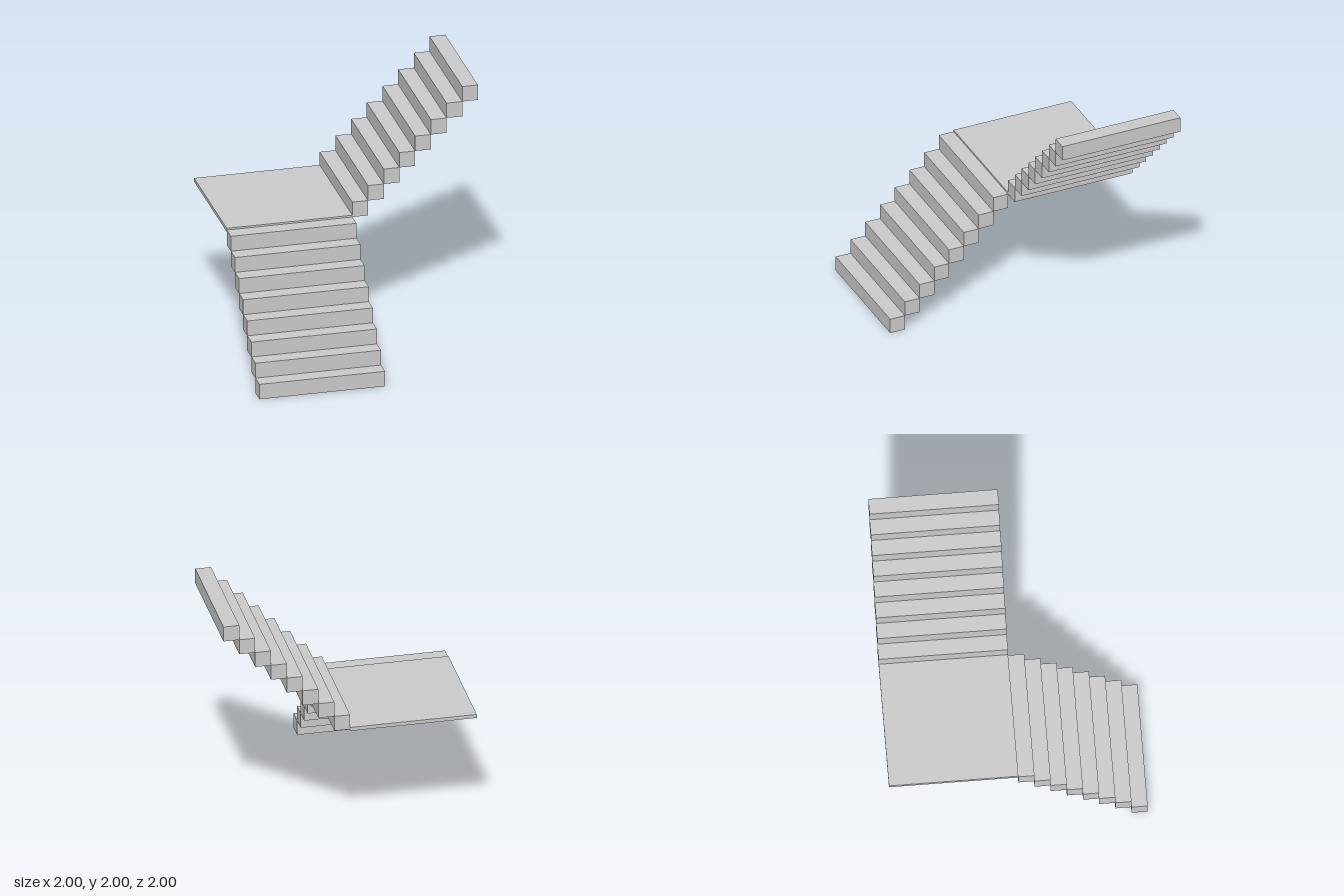
import * as THREE from 'three';

const STEPS = 8;
const SIZE = 1 / STEPS; // rise and run of each step
const WIDTH = 1;
const LANDING_THICKNESS = 0.03;

const material = new THREE.MeshStandardMaterial({ color: 0xcccccc, flatShading: true });

// Straight flight of solid steps, climbing from the origin towards -z
function createFlight(name) {
  const flight = new THREE.Group();
  flight.name = name;
  const geometry = new THREE.BoxGeometry(WIDTH, SIZE, SIZE);
  for (let i = 0; i < STEPS; i++) {
    const step = new THREE.Mesh(geometry, material);
    step.name = `step${i + 1}`;
    step.position.set(0, (i + 0.5) * SIZE, -(i + 0.5) * SIZE);
    flight.add(step);
  }
  return flight;
}

export function createModel() {
  const model = new THREE.Group();
  model.name = 'quarterTurnStaircase';

  // Lower flight rises from the front to the landing
  const lowerFlight = createFlight('lowerFlight');
  lowerFlight.position.set(-0.5, 0, 1);

  // Thin square landing at mid height
  const landing = new THREE.Mesh(new THREE.BoxGeometry(WIDTH, LANDING_THICKNESS, WIDTH), material);
  landing.name = 'landing';
  landing.position.set(-0.5, 1, -0.5);

  // Upper flight turns a quarter and rises towards +x
  const upperFlight = createFlight('upperFlight');
  upperFlight.rotation.y = -Math.PI / 2;
  upperFlight.position.set(0, 1, -0.5);

  model.add(lowerFlight, landing, upperFlight);
  return model;
}
